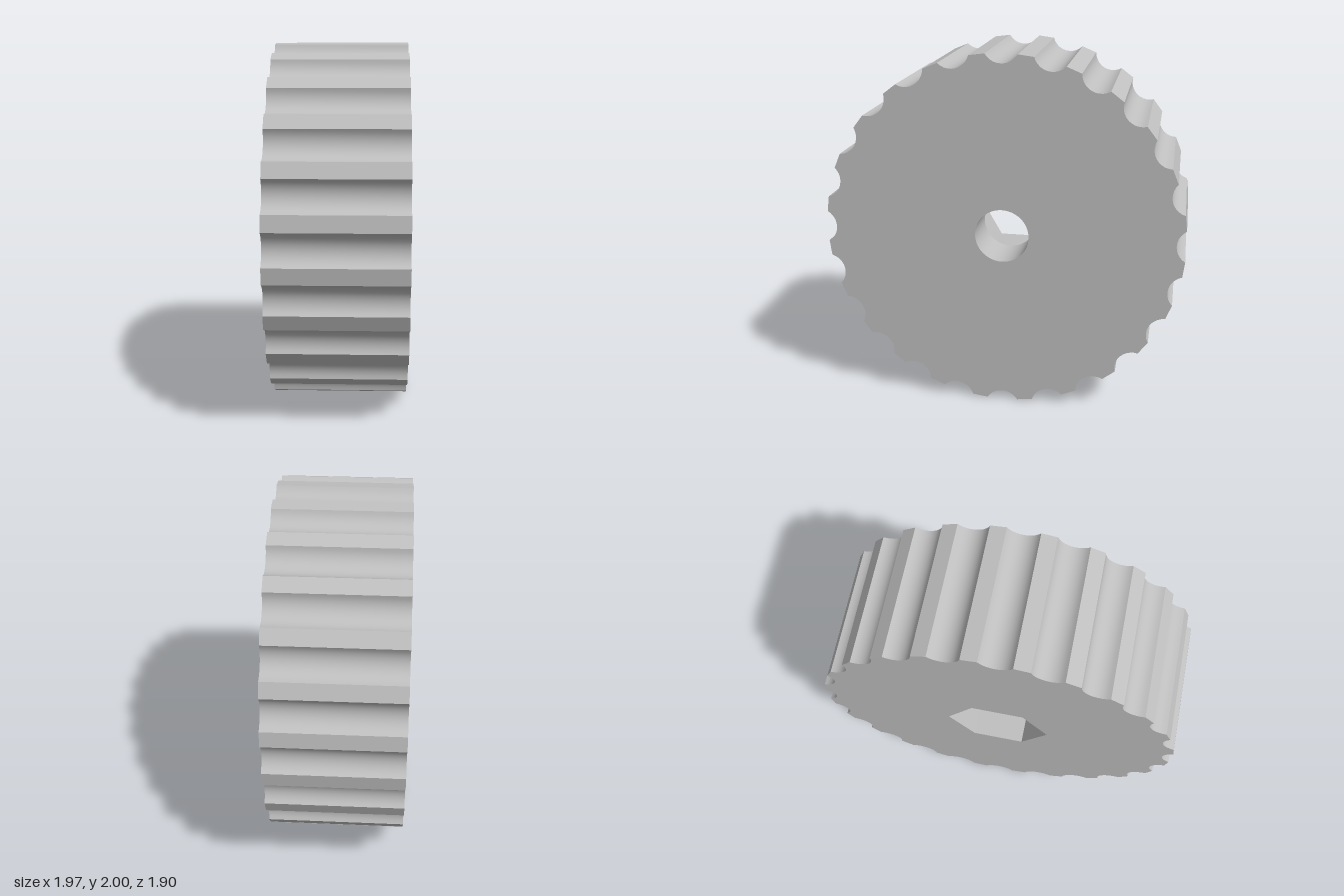
import * as THREE from 'three';
import { toCreasedNormals } from 'three/addons/utils/BufferGeometryUtils.js';

const GROOVES = 24;
const FRONT = 0.3675, BACK = -0.3675;   // disc faces along its axis
const FLOOR = FRONT - 0.47;             // bottom of the hexagonal socket

// Points of a circle or regular polygon, counter-clockwise
function ring(radius, count) {
  return Array.from({ length: count }, (_, i) => {
    const a = (i / count) * Math.PI * 2;
    return new THREE.Vector2(radius * Math.cos(a), radius * Math.sin(a));
  });
}

// Rim outline: shallow arc grooves separated by flat lands
function rimOutline() {
  const pts = [], r = 0.1016, half = 1.038, centre = 1.0516, steps = 10;
  for (let i = 0; i < GROOVES; i++) {
    const a = (i / GROOVES) * Math.PI * 2;
    for (let j = 0; j <= steps; j++) {
      const d = a + Math.PI + half * (1 - (2 * j) / steps);
      pts.push(new THREE.Vector2(
        centre * Math.cos(a) + r * Math.cos(d),
        centre * Math.sin(a) + r * Math.sin(d)));
    }
  }
  return pts;
}

// Wall along a closed outline; faces outward for counter-clockwise points
function wall(points, z0, z1) {
  const pos = [];
  points.forEach((p, i) => {
    const q = points[(i + 1) % points.length];
    pos.push(p.x, p.y, z0, q.x, q.y, z0, q.x, q.y, z1);
    pos.push(p.x, p.y, z0, q.x, q.y, z1, p.x, p.y, z1);
  });
  const g = new THREE.BufferGeometry();
  g.setAttribute('position', new THREE.Float32BufferAttribute(pos, 3));
  return toCreasedNormals(g, 0.5);
}

// Flat plate with one opening, facing +z
function plate(outline, hole, z) {
  const shape = new THREE.Shape(outline);
  shape.holes.push(new THREE.Path(hole));
  return new THREE.ShapeGeometry(shape).translate(0, 0, z);
}

export function createModel() {
  const grey = new THREE.MeshStandardMaterial({ color: 0xc0c0c0 });
  grey.name = 'light grey';

  const rim = rimOutline();
  const hex = ring(0.285, 6);
  const bore = ring(0.15, 48);

  const knob = new THREE.Group();
  knob.name = 'knob';
  const add = (name, geometry) => {
    const mesh = new THREE.Mesh(geometry, grey);
    mesh.name = name;
    knob.add(mesh);
  };

  add('groovedRim', wall(rim, BACK, FRONT));
  add('frontFace', plate(rim, hex, FRONT));
  // The rim and bore are symmetric, so the back is a turned plate
  add('backFace', plate(rim, bore, -BACK).rotateY(Math.PI));
  add('hexSocketWall', wall([...hex].reverse(), FLOOR, FRONT));
  add('hexSocketFloor', plate(hex, bore, FLOOR));
  add('boltHole', wall([...bore].reverse(), BACK, FLOOR));

  // Stand the disc on its rim, turned about the vertical
  knob.position.y = 1;
  knob.rotation.y = -0.747;

  const model = new THREE.Group();
  model.name = 'gripKnob';
  model.add(knob);
  return model;
}
